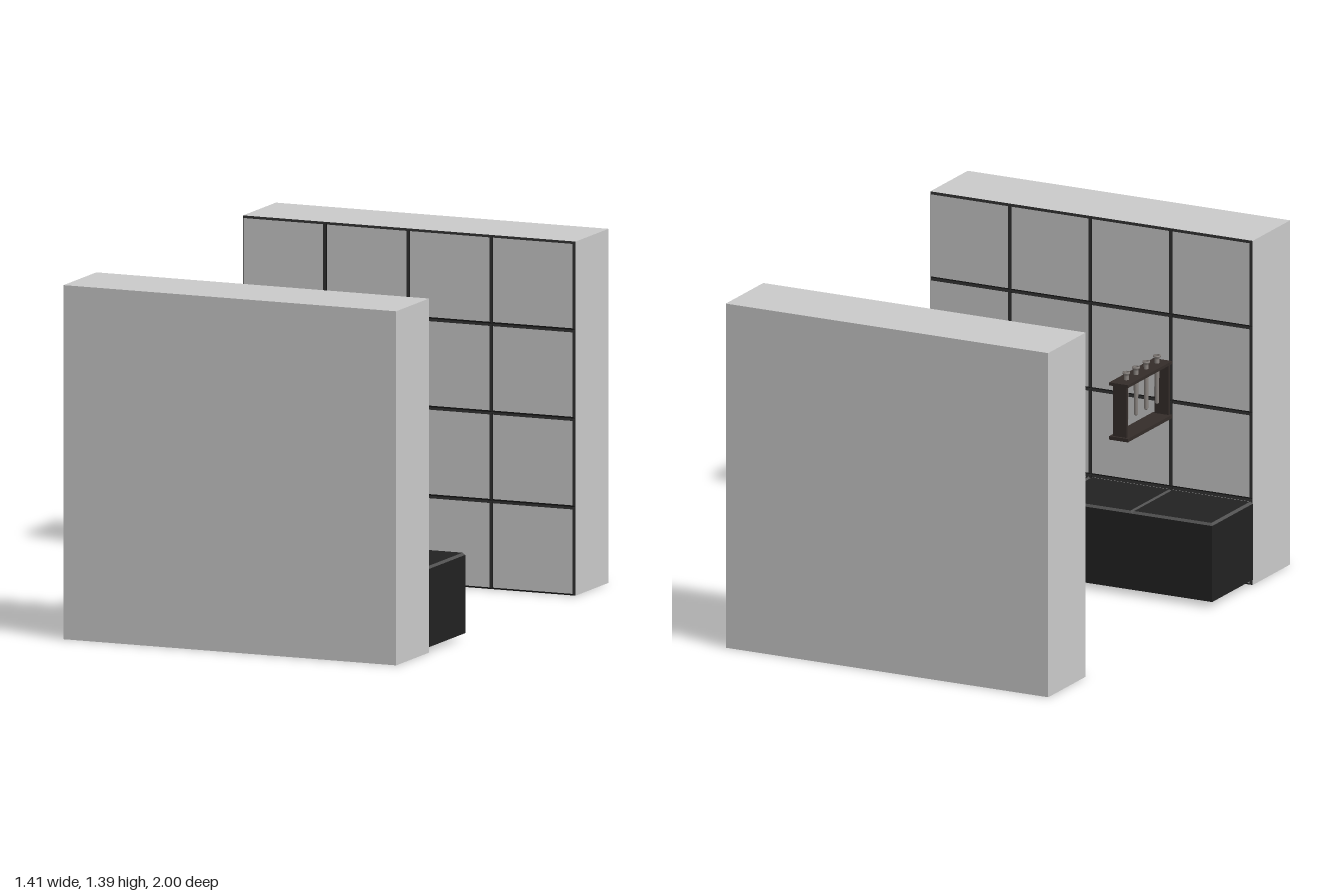
import * as THREE from 'three';

const W = 1.41, H = 1.39, N = 4, DEPTH = 0.31;
const mat = (color, side = THREE.FrontSide) => new THREE.MeshStandardMaterial({ color, side });
const grey = mat(0xcccccc);
const black = mat(0x222222);
const edgeGrey = mat(0x505050);
const brown = mat(0x352d2a);
const steel = mat(0x8a8480, THREE.DoubleSide);

function add(parent, name, geometry, material, x = 0, y = 0, z = 0) {
  const mesh = new THREE.Mesh(geometry, material);
  mesh.name = name;
  mesh.position.set(x, y, z);
  parent.add(mesh);
  return mesh;
}

// Bevelled tile facing +z: sloped rim in one colour, flat face in another
function makeTile(w, h, depth, bevel, rimMat, faceMat) {
  const tile = new THREE.Group();
  const rim = new THREE.BoxGeometry(w, h, depth);
  const p = rim.attributes.position;
  for (let i = 0; i < p.count; i++) {
    if (p.getZ(i) > 0) {
      p.setX(i, p.getX(i) - Math.sign(p.getX(i)) * bevel);
      p.setY(i, p.getY(i) - Math.sign(p.getY(i)) * bevel);
    }
  }
  const flat = rim.toNonIndexed();
  flat.computeVertexNormals();
  add(tile, 'tileRim', flat, rimMat, 0, 0, depth / 2);
  add(tile, 'tileFace', new THREE.PlaneGeometry(w - 2 * bevel, h - 2 * bevel), faceMat, 0, 0, depth + 0.0005);
  return tile;
}

// Wall block with a 4 x 4 tiled inner side facing +z
function makeWall(name) {
  const wall = new THREE.Group();
  wall.name = name;
  add(wall, 'wallBlock', new THREE.BoxGeometry(W, H, DEPTH), grey, 0, H / 2, 0);
  const tw = W / N, th = H / N;
  for (let i = 0; i < N; i++) {
    for (let j = 0; j < N; j++) {
      const tile = makeTile(tw, th, 0.01, 0.008, black, grey);
      tile.name = 'wallTile';
      tile.position.set(-W / 2 + (i + 0.5) * tw, (j + 0.5) * th, DEPTH / 2);
      wall.add(tile);
    }
  }
  return wall;
}

// Counter: dark body with four bevelled top tiles
function makeCounter() {
  const counter = new THREE.Group();
  counter.name = 'counter';
  const w = W + 0.003, d = 0.338, zc = 0.521;
  add(counter, 'counterBody', new THREE.BoxGeometry(w, 0.307, d), black, 0, 0.1755, zc);
  for (let i = 0; i < N; i++) {
    const tile = makeTile(w / N, d, 0.009, 0.008, edgeGrey, black);
    tile.name = 'counterTile';
    tile.rotation.x = -Math.PI / 2;
    tile.position.set(-w / 2 + (i + 0.5) * w / N, 0.329, zc);
    counter.add(tile);
  }
  return counter;
}

// Tube rack fixed to the front wall
function makeRack() {
  const rack = new THREE.Group();
  rack.name = 'tubeRack';
  rack.position.set(-0.318, 0, 0.495);
  const w = 0.082, l = 0.366;
  const tubeZ = [0.135, 0.046, -0.038, -0.118];

  // Upper shelf with holes for the tubes
  const shape = new THREE.Shape([[-1, -1], [1, -1], [1, 1], [-1, 1]].map(
    ([a, b]) => new THREE.Vector2(a * w / 2, b * l / 2)));
  for (const z of tubeZ) {
    shape.holes.push(new THREE.Path().absarc(0, -z, 0.01, 0, Math.PI * 2, true));
  }
  const shelf = new THREE.ExtrudeGeometry(shape, { depth: 0.012, bevelEnabled: false, curveSegments: 12 });
  shelf.rotateX(-Math.PI / 2);
  add(rack, 'upperShelf', shelf, brown, 0, 0.847, 0);
  add(rack, 'lowerShelf', new THREE.BoxGeometry(w, 0.014, l), brown, 0, 0.635, 0);
  for (const z of [-0.167, 0.179]) {
    add(rack, 'rackPost', new THREE.BoxGeometry(0.06, 0.207, 0.012), brown, 0, 0.744, z);
  }

  // Open tubes with rounded bottoms and flared lips
  const profile = [[0, 0], [0.005, 0.001], [0.008, 0.006], [0.0095, 0.18], [0.0095, 0.187],
    [0.015, 0.19], [0.015, 0.197], [0.008, 0.197], [0.007, 0.01], [0, 0.006]]
    .map(([r, y]) => new THREE.Vector2(r, y));
  const tubeGeometry = new THREE.LatheGeometry(profile, 12);
  for (const z of tubeZ) add(rack, 'tube', tubeGeometry, steel, 0, 0.693, z);
  return rack;
}

export function createModel() {
  const model = new THREE.Group();
  model.name = 'tiledRoom';

  const backWall = makeWall('backWall');
  backWall.position.z = -1 + DEPTH / 2;
  const frontWall = makeWall('frontWall');
  frontWall.rotation.y = Math.PI;
  frontWall.position.z = 1 - DEPTH / 2;

  model.add(backWall, frontWall, makeCounter(), makeRack());
  return model;
}
